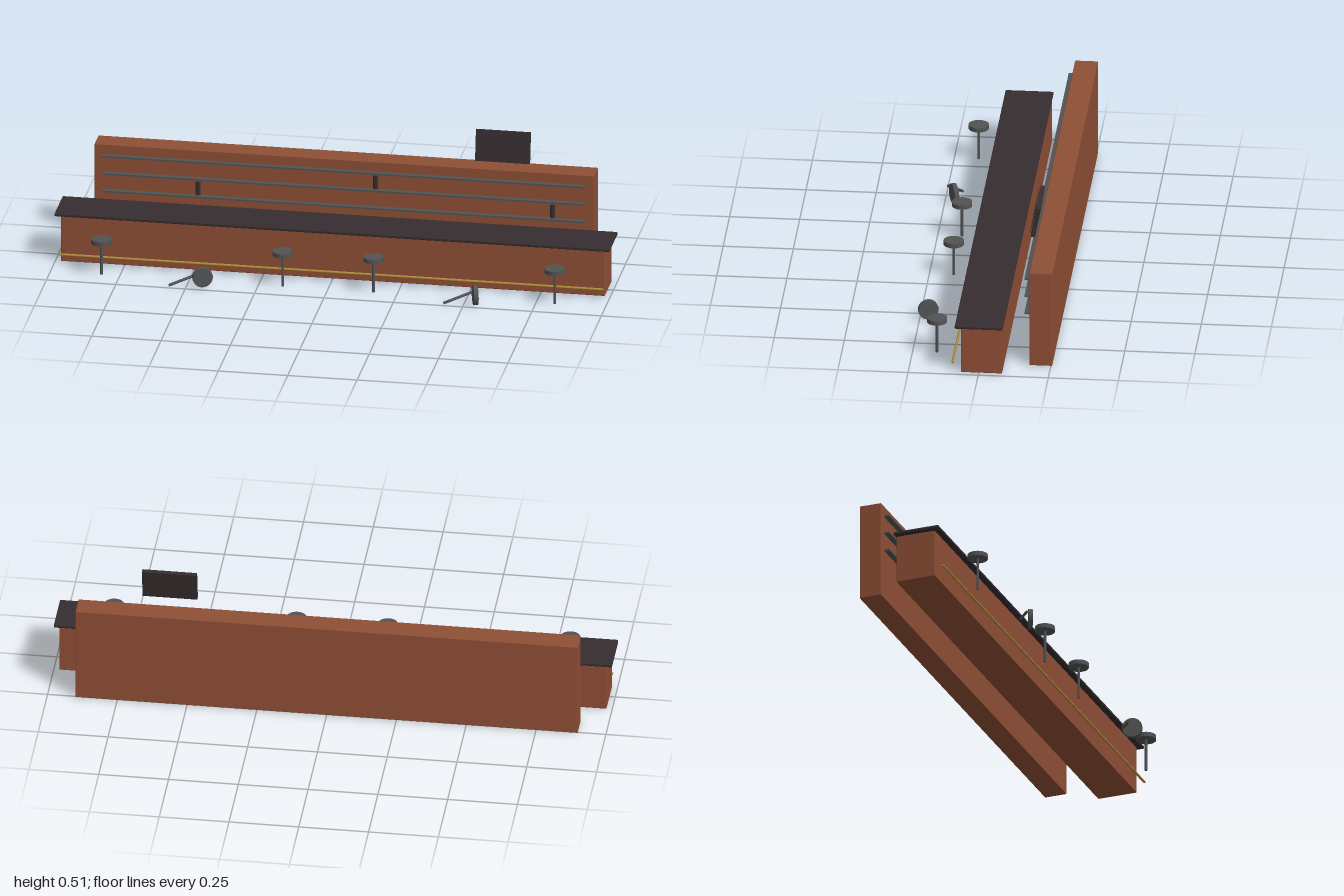
import * as THREE from 'three';
import { RoundedBoxGeometry } from 'three/addons/geometries/RoundedBoxGeometry.js';

const mat = (name, color) => {
  const m = new THREE.MeshStandardMaterial({ color });
  m.name = name;
  return m;
};

export function createModel() {
  const wood = mat('wood', 0x8f4f35);
  const dark = mat('darkTop', 0x362d2f);
  const steel = mat('steel', 0x525354);
  const brass = mat('brass', 0xb08a3c);

  const bar = new THREE.Group();
  bar.name = 'barCounter';

  const add = (name, geometry, material, x, y, z, parent = bar) => {
    const mesh = new THREE.Mesh(geometry, material);
    mesh.name = name;
    mesh.position.set(x, y, z);
    parent.add(mesh);
    return mesh;
  };
  const up = new THREE.Vector3(0, 1, 0);

  // Counter and its overhanging top
  add('counterBody', new RoundedBoxGeometry(1.96, 0.178, 0.147, 2, 0.003), wood, 0, 0.089, -0.01);
  add('counterTop', new RoundedBoxGeometry(2, 0.011, 0.171, 2, 0.003), dark, 0, 0.183, -0.0015);

  // Foot rail along the front
  const rail = add('footRail', new THREE.CylinderGeometry(0.0045, 0.0045, 1.96, 12), brass, 0, 0.037, 0.093);
  rail.rotation.z = Math.PI / 2;

  // Back wall with three shelves
  add('backWall', new RoundedBoxGeometry(1.8, 0.361, 0.082, 2, 0.003), wood, 0, 0.1805, -0.214);
  for (const y of [0.1885, 0.2555, 0.3215]) {
    add('shelf', new THREE.BoxGeometry(1.74, 0.006, 0.028), steel, 0, y, -0.167);
  }

  // Bottles left on the shelves
  for (const [x, y] of [[-0.527, 0.217], [0.113, 0.2835], [0.75, 0.217]]) {
    add('bottle', new THREE.CylinderGeometry(0.009, 0.009, 0.05, 16), dark, x, y, -0.174);
  }

  // Tilted display above the wall, with a separate thin screen
  const display = new THREE.Group();
  display.name = 'display';
  display.position.set(0.572, 0.451, -0.174);
  display.rotation.x = -0.17;
  bar.add(display);
  add('displayCase', new THREE.BoxGeometry(0.196, 0.113, 0.016), dark, 0, 0, 0, display);
  add('displayScreen', new THREE.BoxGeometry(0.18, 0.096, 0.002), dark, 0, 0, 0.0115, display);

  // Stool parts shared by standing and fallen stools
  const seatGeometry = new THREE.CylinderGeometry(0.036, 0.036, 0.016, 32);
  const poleGeometry = new THREE.CylinderGeometry(0.005, 0.005, 0.12, 12);

  for (const x of [-0.817, -0.1635, 0.1635, 0.817]) {
    const stool = new THREE.Group();
    stool.name = 'stool';
    stool.position.set(x, 0, 0.163);
    bar.add(stool);
    add('stoolPole', poleGeometry, steel, 0, 0.06, 0, stool);
    add('stoolSeat', seatGeometry, steel, 0, 0.127, 0, stool);
  }

  // Knocked-over stools: seat on edge, pole lying beside it
  const fallen = [
    { seat: [-0.443, 0.036, 0.217], axis: [0.39, 0, 0.92], poleX: -0.509 },
    { seat: [0.54, 0.036, 0.2195], axis: [0.95, 0, -0.3], poleX: 0.481 },
  ];
  for (const { seat, axis, poleX } of fallen) {
    const stool = new THREE.Group();
    stool.name = 'fallenStool';
    bar.add(stool);
    const disc = add('fallenSeat', seatGeometry, steel, ...seat, stool);
    disc.quaternion.setFromUnitVectors(up, new THREE.Vector3(...axis).normalize());
    const pole = add('fallenPole', poleGeometry, steel, poleX, 0.0235, 0.218, stool);
    pole.quaternion.setFromUnitVectors(up, new THREE.Vector3(0.098, 0.027, -0.062).normalize());
  }

  return bar;
}
